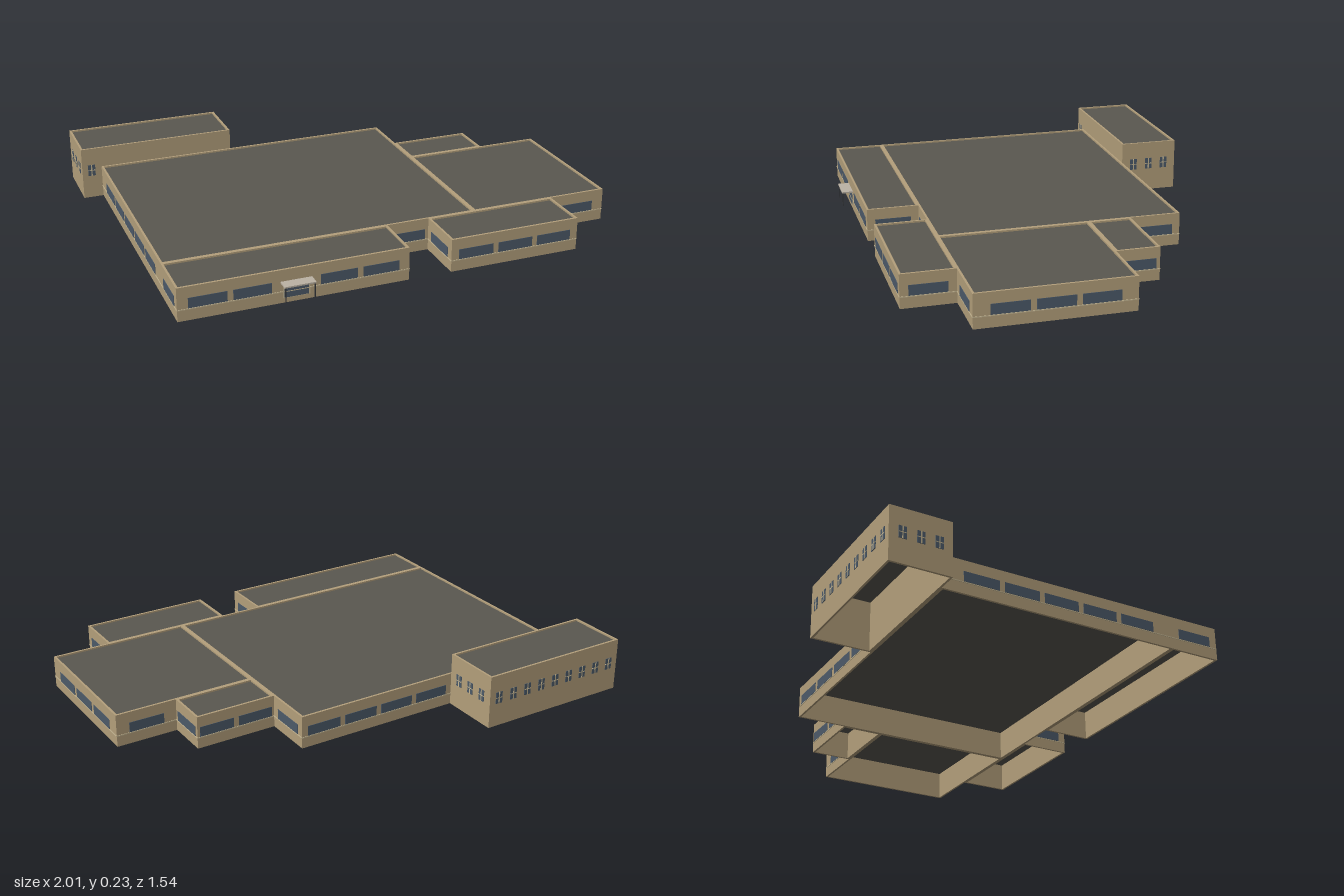
import * as THREE from 'three';

const mat = (name, color) => Object.assign(new THREE.MeshStandardMaterial({ color }), { name });
const M = {
  wall: mat('tan brick', 0xb39f7b),
  roof: mat('dark roofing', 0x5a5850),
  glass: mat('window glass', 0x4c5a69),
  trim: mat('pale trim', 0xc6b793),
  canopy: mat('canopy grey', 0xbbb2a4),
  metal: mat('dark metal', 0x33363a),
};
const T = 0.009; // wall thickness
const LOW = 0.138, TALL = 0.226;

function box(name, material, w, h, d, x, y, z) {
  const m = new THREE.Mesh(new THREE.BoxGeometry(w, h, d), material);
  m.name = name;
  m.position.set(x, y, z);
  return m;
}

function rect(target, x0, x1, z0, z1) {
  return target.moveTo(x0, -z0).lineTo(x0, -z1).lineTo(x1, -z1).lineTo(x1, -z0).closePath();
}

// Open-bottomed wing: a ring of walls with a recessed flat roof
function wing(name, x0, x1, z0, z1, h) {
  const g = new THREE.Group();
  g.name = name;
  const outline = rect(new THREE.Shape(), x0, x1, z0, z1);
  outline.holes.push(rect(new THREE.Path(), x0 + T, x1 - T, z0 + T, z1 - T));
  const geo = new THREE.ExtrudeGeometry(outline, { depth: h, bevelEnabled: false });
  geo.rotateX(-Math.PI / 2);
  const walls = new THREE.Mesh(geo, M.wall);
  walls.name = 'walls';
  g.add(walls, box('roof', M.roof, x1 - x0 - 2 * T, 0.006, z1 - z0 - 2 * T,
    (x0 + x1) / 2, h - 0.01, (z0 + z1) / 2));
  return g;
}

// Exposed stretch of wall; a..b runs along x (front/back) or z (left/right)
const TURN = { front: 0, left: Math.PI / 2, back: Math.PI, right: -Math.PI / 2 };
function facade(side, a, b, at) {
  const g = new THREE.Group(), mid = (a + b) / 2;
  g.name = side + 'Facade';
  g.rotation.y = TURN[side];
  if (side === 'front' || side === 'back') g.position.set(mid, 0, at);
  else g.position.set(at, 0, mid);
  return g;
}

// Row of ribbon windows above a pale sill course
function lowFacade(side, a, b, at, skip = -1) {
  const g = facade(side, a, b, at), len = b - a;
  const n = Math.max(1, Math.floor((len + 0.002) / 0.1725));
  g.add(box('sillCourse', M.trim, len, 0.004, 0.004, 0, 0.047, 0));
  for (let i = 0; i < n; i++) {
    if (i === skip) continue;
    g.add(box('window', M.glass, 0.15, 0.042, 0.004, (i - (n - 1) / 2) * 0.1725, 0.071, 0));
  }
  return g;
}

// Row of small paired windows with mullion and transom
function tallFacade(side, a, b, at) {
  const g = facade(side, a, b, at);
  const n = Math.max(1, Math.floor((b - a) / 0.073));
  for (let i = 0; i < n; i++) {
    const x = (i - (n - 1) / 2) * 0.073;
    g.add(box('window', M.glass, 0.032, 0.05, 0.004, x, 0.126, 0),
      box('mullion', M.trim, 0.005, 0.05, 0.006, x, 0.126, 0),
      box('transom', M.trim, 0.032, 0.003, 0.006, x, 0.126, 0));
  }
  return g;
}

export function createModel() {
  const model = new THREE.Group();
  model.name = 'flatRoofedBuilding';

  // Wings
  model.add(
    wing('mainHall', -0.915, 0.395, -0.515, 0.505, LOW),
    wing('tallWing', -1, -0.325, -0.77, -0.515, TALL),
    wing('leftWing', 0.395, 1, -0.12, 0.505, LOW),
    wing('leftBackWing', 0.395, 0.74, -0.3, -0.12, LOW),
    wing('entranceWing', -0.915, 0.01, 0.505, 0.722, LOW),
    wing('frontLeftWing', 0.19, 0.75, 0.505, 0.722, LOW),
  );

  // Low facades
  model.add(
    lowFacade('front', -0.915, 0.01, 0.722, 2),
    lowFacade('front', 0.01, 0.19, 0.505),
    lowFacade('front', 0.19, 0.75, 0.722),
    lowFacade('front', 0.75, 1, 0.505),
    lowFacade('left', 0.505, 0.722, 0.01),
    lowFacade('left', 0.505, 0.722, 0.75),
    lowFacade('left', -0.12, 0.505, 1),
    lowFacade('left', -0.3, -0.12, 0.74),
    lowFacade('left', -0.515, -0.3, 0.395),
    lowFacade('right', -0.515, 0.505, -0.915),
    lowFacade('right', 0.505, 0.722, -0.915),
    lowFacade('right', 0.505, 0.722, 0.19),
    lowFacade('back', -0.325, 0.395, -0.515),
    lowFacade('back', 0.395, 0.74, -0.3),
    lowFacade('back', 0.74, 1, -0.12),
  );

  // Tall wing facades
  model.add(
    tallFacade('back', -1, -0.325, -0.77),
    tallFacade('left', -0.77, -0.515, -0.325),
    tallFacade('right', -0.77, -0.515, -1),
    tallFacade('front', -1, -0.918, -0.515),
  );

  // Entrance: glazed doors under a canopy on two posts
  const entrance = new THREE.Group();
  entrance.name = 'entrance';
  entrance.position.x = -0.453;
  entrance.add(
    box('doorFrame', M.trim, 0.108, 0.06, 0.004, 0, 0.05, 0.722),
    box('doorGlass', M.glass, 0.098, 0.052, 0.006, 0, 0.048, 0.722),
    box('doorRail', M.trim, 0.098, 0.003, 0.008, 0, 0.047, 0.722),
    box('canopy', M.canopy, 0.126, 0.006, 0.05, 0, 0.087, 0.745),
  );
  for (const s of [-1, 1]) entrance.add(box('canopyPost', M.metal, 0.004, 0.062, 0.004, s * 0.058, 0.055, 0.767));
  model.add(entrance);
  return model;
}
